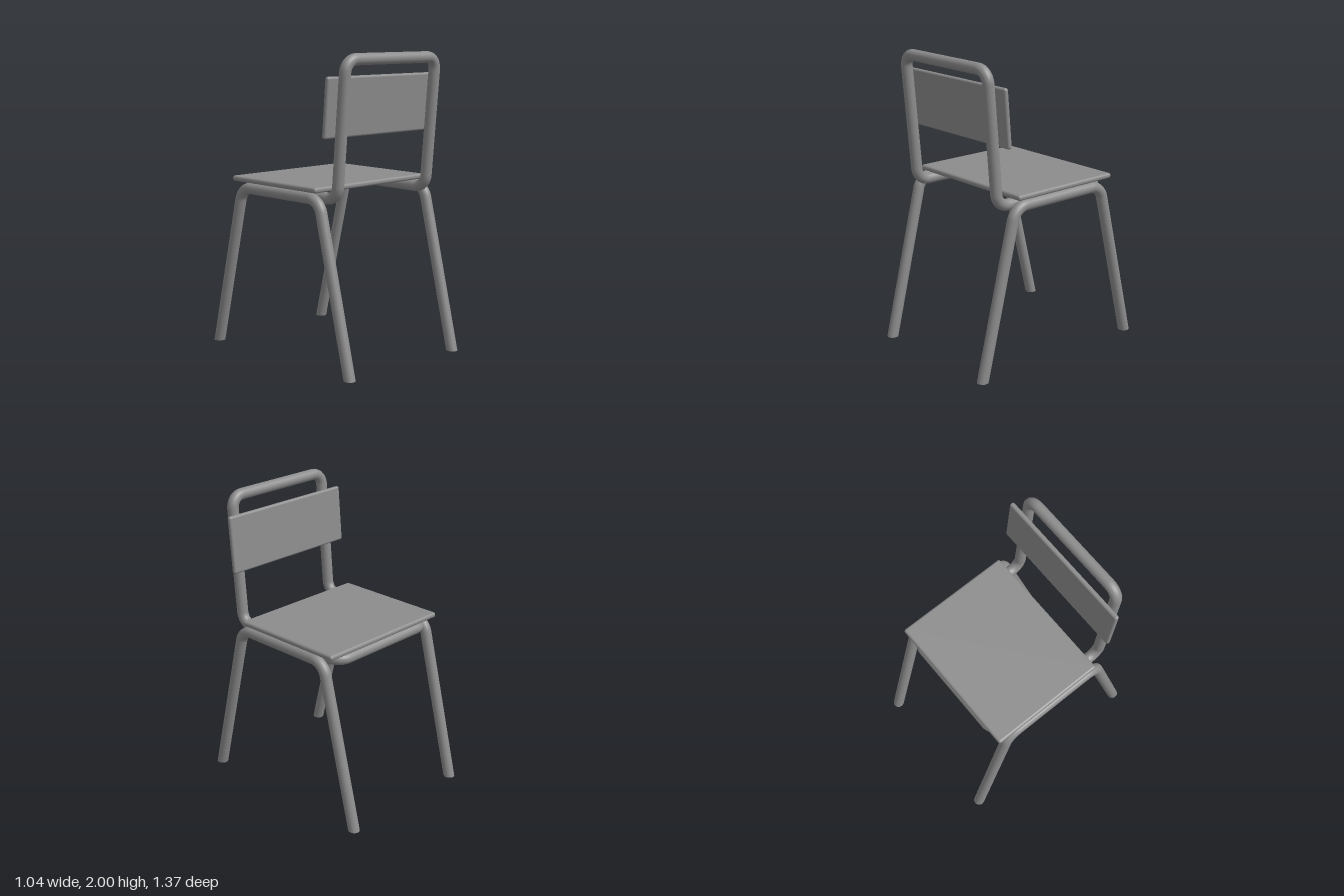
import * as THREE from 'three';
import { RoundedBoxGeometry } from 'three/addons/geometries/RoundedBoxGeometry.js';

const R = 0.0375;      // tube radius
const SIDES = 20;
const RAIL_Y = 1.1;    // centre height of the seat rails
const SPLAY = 0.248;   // sideways run of a leg per unit of height

// Straight runs through the points, each inner corner rounded with the given cut length
function bentPath(points, cut) {
  const path = new THREE.CurvePath();
  path.arcLengthDivisions = 1000;
  let from = points[0];
  for (let i = 1; i < points.length - 1; i++) {
    const corner = points[i];
    const toward = (p, d) => p.clone().sub(corner).setLength(d).add(corner);
    const a = toward(points[i - 1], cut), b = toward(points[i + 1], cut);
    path.add(new THREE.LineCurve3(from, a));
    path.add(new THREE.CubicBezierCurve3(a, toward(points[i - 1], cut * 0.44), toward(points[i + 1], cut * 0.44), b));
    from = b;
  }
  path.add(new THREE.LineCurve3(from, points[points.length - 1]));
  return path;
}

export function createModel() {
  const chair = new THREE.Group();
  chair.name = 'chair';
  const grey = new THREE.MeshStandardMaterial({ color: 0x8c8c8c });
  grey.name = 'grey';
  const add = (name, geometry, parent = chair) => {
    const mesh = new THREE.Mesh(geometry, grey);
    mesh.name = name;
    parent.add(mesh);
    return mesh;
  };
  const v = (x, y, z) => new THREE.Vector3(x, y, z);

  // Side frames: two splayed legs joined by a rail, feet cut level with the floor
  const footZ = 0.645, kneeZ = footZ - SPLAY * RAIL_Y;
  for (const [side, x] of [['left', 0.483], ['right', -0.483]]) {
    const frame = new THREE.Group();
    frame.name = side + 'LegFrame';
    chair.add(frame);
    const path = bentPath([v(x, 0, footZ), v(x, RAIL_Y, kneeZ), v(x, RAIL_Y, -kneeZ), v(x, 0, -footZ)], 0.085);
    const tube = new THREE.TubeGeometry(path, 180, R, SIDES, false);
    const pos = tube.attributes.position;
    for (let j = 0; j <= SIDES; j++) {
      for (const i of [j, pos.count - 1 - j]) {
        pos.setZ(i, pos.getZ(i) + Math.sign(pos.getZ(i)) * SPLAY * pos.getY(i));
        pos.setY(i, 0);
      }
    }
    add(side + 'Legs', tube, frame);
    for (const s of [1, -1]) {
      const sole = new THREE.CircleGeometry(R, SIDES).rotateX(Math.PI / 2);
      sole.scale(1, 1, Math.hypot(1, SPLAY));
      add(side + 'FootEnd', sole, frame).position.set(x, 0, s * footZ);
    }
  }

  // Seat and back frame: one closed loop under the seat and up around the backrest
  const bx = 0.406, frontZ = -0.43, bendZ = 0.455, topY = 1.963, topZ = 0.529;
  const loop = bentPath([
    v(0, RAIL_Y, frontZ),
    v(bx, RAIL_Y, frontZ), v(bx, RAIL_Y, bendZ), v(bx, topY, topZ),
    v(-bx, topY, topZ), v(-bx, RAIL_Y, bendZ), v(-bx, RAIL_Y, frontZ),
    v(0, RAIL_Y, frontZ),
  ], 0.082);
  add('backFrame', new THREE.TubeGeometry(loop, 320, R, SIDES, true));

  // Thin boards with rounded edges
  add('seat', new RoundedBoxGeometry(1.004, 0.036, 0.816, 4, 0.016)).position.set(0, 1.154, -0.053);
  const backrest = add('backrest', new RoundedBoxGeometry(1.004, 0.382, 0.033, 4, 0.015));
  backrest.position.set(0, 1.67, 0.443);
  backrest.rotation.x = 0.085;

  return chair;
}
